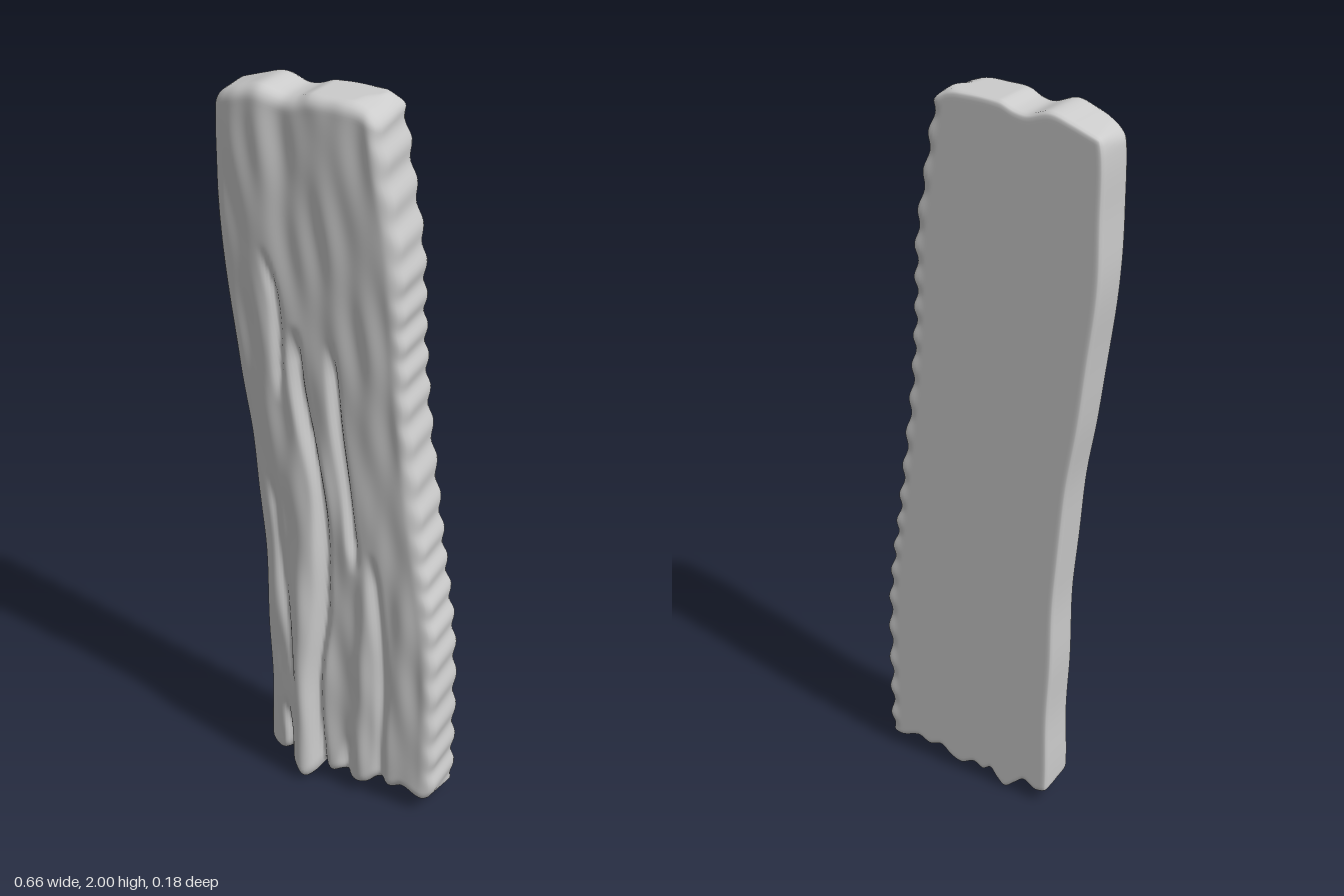
import * as THREE from 'three';
import { mergeVertices } from 'three/addons/utils/BufferGeometryUtils.js';

const { clamp, lerp, smoothstep } = THREE.MathUtils;

// Smooth interpolation through [key, value] pairs with rising keys
function curve(points) {
  return (t) => {
    if (t <= points[0][0]) return points[0][1];
    for (let i = 1; i < points.length; i++) {
      const [a, va] = points[i - 1], [b, vb] = points[i];
      if (t <= b) {
        const prev = points[Math.max(i - 2, 0)], next = points[Math.min(i + 1, points.length - 1)];
        const m0 = (vb - prev[1]) / (b - prev[0]) * (b - a);
        const m1 = (next[1] - va) / (next[0] - a) * (b - a);
        const s = (t - a) / (b - a), s2 = s * s, s3 = s2 * s;
        return (2 * s3 - 3 * s2 + 1) * va + (s3 - 2 * s2 + s) * m0 + (3 * s2 - 2 * s3) * vb + (s3 - s2) * m1;
      }
    }
    return points[points.length - 1][1];
  };
}
const bell = (d, w) => Math.exp(-(d * d) / (w * w));

// Outline of the leaning plank: side edges by height, ends by x fraction
const edgeRight = curve([[0, -0.195], [0.4, -0.205], [0.8, -0.225], [1, -0.248], [1.2, -0.277],
  [1.4, -0.307], [1.6, -0.327], [1.75, -0.332], [1.92, -0.328], [2, -0.31]]);
const edgeLeft = curve([[0, 0.325], [0.5, 0.32], [0.8, 0.28], [1, 0.253], [1.2, 0.228], [1.4, 0.213],
  [1.6, 0.205], [1.7, 0.19], [1.8, 0.172], [1.9, 0.155], [2, 0.135]]);
const topEnd = curve([[0, 1.96], [0.15, 1.985], [0.28, 2], [0.42, 1.982], [0.5, 1.985], [0.6, 2],
  [0.85, 2], [0.95, 1.985], [1, 1.97]]);
const bottomEnd = curve([[0, 0.04], [0.07, 0.032], [0.14, 0.05], [0.2, 0.025], [0.26, 0.0], [0.31, 0.02],
  [0.35, 0.045], [0.4, 0.03], [0.46, 0.042], [0.54, 0.022], [0.61, 0.032], [0.67, 0.055], [0.75, 0.042],
  [0.82, 0.055], [0.93, 0.035], [1, 0.04]]);
const frontDepth = curve([[0, 0.058], [0.5, 0.055], [1.1, 0.053], [1.5, 0.062], [1.8, 0.068], [2, 0.066]]);

// Grain cracks: x by height, depth and width
const cracks = [
  { path: [[1.2, -0.14], [1.4, -0.145], [1.48, -0.155], [1.6, -0.185]], depth: 0.016, width: 0.012 },
  { path: [[0.02, -0.012], [0.3, -0.028], [0.6, -0.008], [0.9, -0.022], [1.2, -0.082], [1.4, -0.095]], depth: 0.028, width: 0.015 },
  { path: [[0.75, 0.085], [0.95, 0.055], [1.15, 0.028], [1.38, 0.008]], depth: 0.022, width: 0.012 },
  { path: [[0.02, 0.165], [0.3, 0.17], [0.5, 0.165], [0.8, 0.13]], depth: 0.014, width: 0.014 },
  { path: [[0.02, -0.118], [0.12, -0.12], [0.25, -0.135]], depth: 0.03, width: 0.014 },
  { path: [[0.3, -0.1], [0.6, -0.14], [0.95, -0.18]], depth: 0.013, width: 0.014 },
  { path: [[0.02, 0.055], [0.08, 0.06], [0.2, 0.08]], depth: 0.018, width: 0.014 },
].map((c) => ({ ...c, x: curve(c.path), from: c.path[0][0], to: c.path[c.path.length - 1][0] }));

// Height of the weathered front face
function frontRelief(x, y, u) {
  let z = frontDepth(y) - 0.012 * bell(u - 0.45, 0.1) * smoothstep(y, 1.3, 1.9);
  z += 0.036 * bell(x + 0.065, 0.045) * (1 - smoothstep(y, 0.35, 1.1));
  z -= 0.022 * bell(u, 0.14);
  z += 0.012 * bell(x - 0.115, 0.025) * bell(y - 0.45, 0.4);
  z += 0.003 * Math.sin(x * 70 + Math.sin(y * 4) * 1.5) * Math.sin(y * 5 + x * 9);
  z += 0.002 * Math.sin(x * 38 + y * 3) * Math.sin(y * 21 + x * 20);
  for (const c of cracks) {
    const fade = smoothstep(y, c.from - 0.05, c.from + 0.06) * (1 - smoothstep(y, c.to - 0.12, c.to));
    const open = c.from < 0.05 ? 1 - smoothstep(y, c.to - 0.12, c.to) : fade;
    z -= c.depth * open * bell(x - c.x(y), c.width);
  }
  return z;
}

function plankGeometry() {
  const W = 0.5, H = 2, D = 0.15;
  const box = new THREE.BoxGeometry(W, H, D, 80, 220, 12);
  box.deleteAttribute('normal');
  box.deleteAttribute('uv');
  const geometry = mergeVertices(box, 1e-5);
  const pos = geometry.attributes.position;
  const p = new THREE.Vector3(), core = new THREE.Vector3();
  for (let i = 0; i < pos.count; i++) {
    p.fromBufferAttribute(pos, i);
    // Round the edges: soft in front, tight at the flat back
    const r = lerp(0.012, 0.035, smoothstep(p.z, -D / 2, D / 2));
    core.set(clamp(p.x, r - W / 2, W / 2 - r), clamp(p.y, r - H / 2, H / 2 - r), clamp(p.z, r - D / 2, D / 2 - r));
    p.sub(core);
    if (p.length() > r) p.setLength(r);
    p.add(core);

    const u = p.x / W + 0.5, v = p.y / H + 0.5, w = p.z / D + 0.5;
    const y = lerp(bottomEnd(u), topEnd(u), v);
    let x = lerp(edgeRight(y), edgeLeft(y), u);
    // Saw ripples along the left edge, gentle swell on the right
    const ripple = Math.sin(y * 68 + Math.sin(y * 9) + w * 1.2);
    x += 0.004 * ripple * smoothstep(u, 0.93, 1);
    x -= 0.002 * Math.sin(y * 17) * (1 - smoothstep(u, 0, 0.1));
    const back = -0.087 - 0.004 * ripple * smoothstep(u, 0.94, 1);
    const z = lerp(back, frontRelief(x, y, u), w);
    // Small knob on the top corner
    const knob = 0.012 * bell(x - 0.105, 0.03) * bell(z + 0.05, 0.035) * smoothstep(v, 0.97, 1);
    pos.setXYZ(i, x, Math.min(y + knob, 2), z);
  }
  geometry.computeVertexNormals();
  return geometry;
}

export function createModel() {
  const group = new THREE.Group();
  group.name = 'woodenPlank';
  const plank = new THREE.Mesh(plankGeometry(), new THREE.MeshStandardMaterial({ color: 0xcccccc }));
  plank.name = 'plank';
  group.add(plank);
  return group;
}
